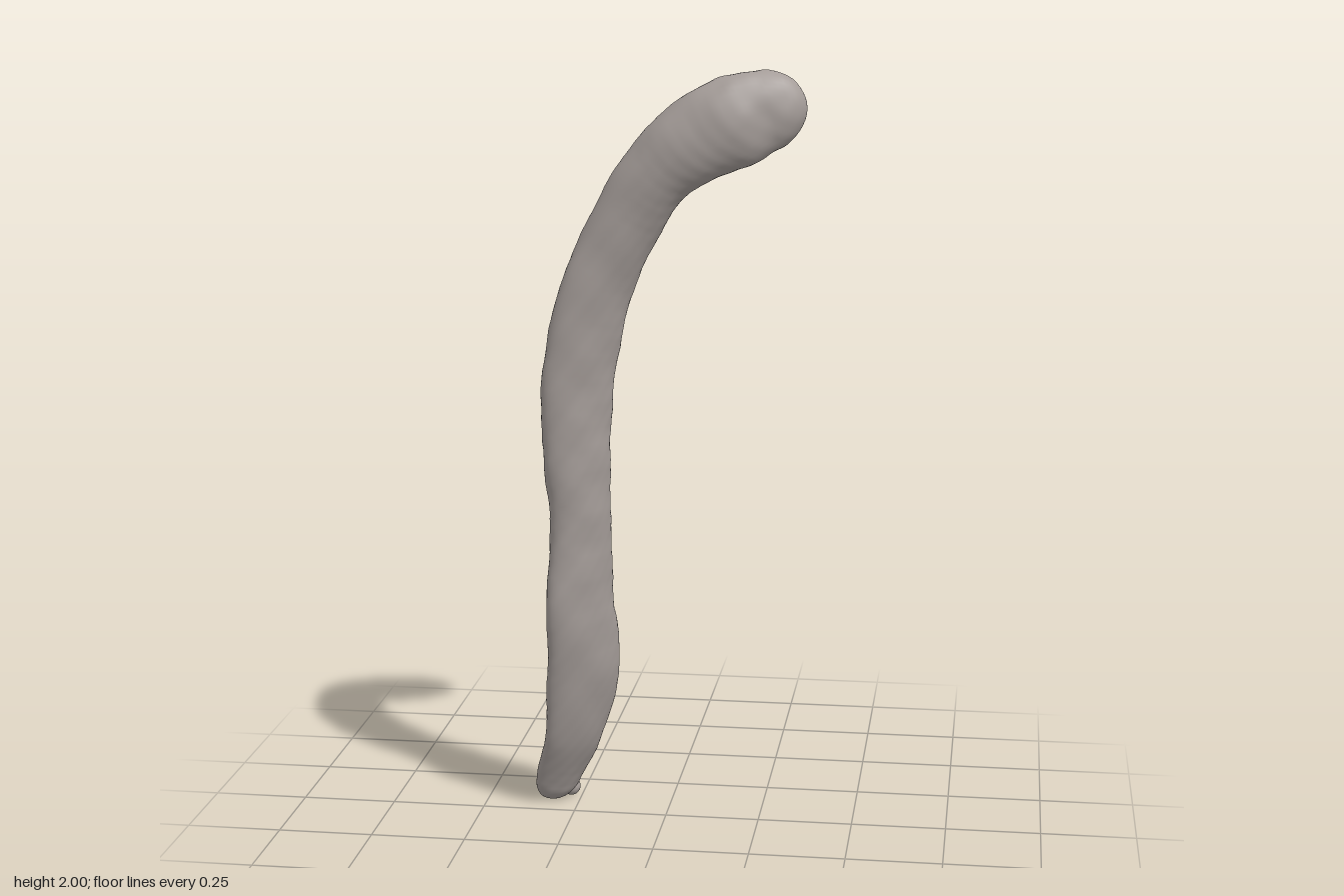
import * as THREE from 'three';

// Stations along the stick: x, y, z of the centre, then half-width, half-depth and twist in degrees
const STATIONS = [
  [-0.312, 0.004, -0.106, 0.060, 0.038, -38],
  [-0.308, 0.06, -0.084, 0.066, 0.040, -40],
  [-0.257, 0.2, -0.038, 0.088, 0.042, -42],
  [-0.222, 0.4, -0.003, 0.107, 0.047, -38],
  [-0.225, 0.6, 0.027, 0.100, 0.050, -42],
  [-0.220, 0.8, 0.035, 0.086, 0.052, -36],
  [-0.227, 1.0, 0.050, 0.090, 0.052, -28],
  [-0.220, 1.2, 0.056, 0.097, 0.051, -26],
  [-0.183, 1.4, 0.056, 0.095, 0.055, -23],
  [-0.100, 1.6, 0.060, 0.090, 0.058, -13],
  [-0.015, 1.735, 0.067, 0.093, 0.064, -6],
  [0.072, 1.815, 0.071, 0.106, 0.067, 0],
  [0.178, 1.868, 0.065, 0.117, 0.065, 0],
  [0.270, 1.900, 0.045, 0.100, 0.054, 0],
  [0.361, 1.916, 0.035, 0.088, 0.048, 0],
];
const STEPS = 10;
const SIDES = 40;

// Small, smooth surface unevenness
function bump(p) {
  return 0.0016 * Math.sin(31 * p.x + 23 * p.y) * Math.cos(37 * p.z - 11 * p.y)
    + 0.0012 * Math.sin(71 * p.x - 47 * p.y + 53 * p.z)
    + 0.0008 * Math.sin(97 * p.y + 120 * p.z) * Math.cos(110 * p.x);
}

// Sweep a twisting ellipse along the path, rounding off both ends
function stickGeometry() {
  const path = new THREE.CatmullRomCurve3(STATIONS.map(([x, y, z]) => new THREE.Vector3(x, y, z)));
  const sizes = new THREE.CatmullRomCurve3(
    STATIONS.map(([, , , a, b, deg]) => new THREE.Vector3(a, b, THREE.MathUtils.degToRad(deg))),
    false, 'catmullrom', 0.5);
  const segments = STATIONS.length - 1;
  const rings = segments * STEPS;
  const positions = [];
  const index = [];
  const axisZ = new THREE.Vector3(0, 0, 1);

  for (let i = 0; i <= rings; i++) {
    let s = i / STEPS;
    let round = 1;
    const fromEnd = Math.min(s, segments - s);
    if (fromEnd < 1) {
      const q = fromEnd * Math.PI / 2;
      round = Math.max(Math.sin(q), 0.002);
      s = s < 1 ? 1 - Math.cos(q) : segments - 1 + Math.cos(q);
    }
    const t = s / segments;
    const centre = path.getPoint(t);
    const tangent = path.getTangent(t);
    const size = sizes.getPoint(t);
    const normal = tangent.clone().cross(axisZ).normalize();
    const binormal = normal.clone().cross(tangent);
    const c = Math.cos(size.z), d = Math.sin(size.z);
    for (let j = 0; j < SIDES; j++) {
      const angle = j / SIDES * Math.PI * 2;
      const u = size.x * Math.cos(angle), v = size.y * Math.sin(angle);
      const offset = normal.clone().multiplyScalar(u * c - v * d)
        .addScaledVector(binormal, u * d + v * c);
      const p = centre.clone().addScaledVector(offset, round);
      p.addScaledVector(offset.normalize(), bump(p) * round);
      positions.push(p.x, p.y, p.z);
      if (i < rings) {
        const k = (j + 1) % SIDES, lo = i * SIDES, hi = lo + SIDES;
        index.push(lo + j, hi + j, lo + k, hi + j, hi + k, lo + k);
      }
    }
  }
  const geometry = new THREE.BufferGeometry();
  geometry.setAttribute('position', new THREE.Float32BufferAttribute(positions, 3));
  geometry.setIndex(index);
  geometry.computeVertexNormals();
  return geometry;
}

export function createModel() {
  const model = new THREE.Group();
  model.name = 'curvedStick';
  const warmGrey = new THREE.MeshStandardMaterial({ color: 0xa59d99 });
  warmGrey.name = 'warmGrey';

  const shaft = new THREE.Mesh(stickGeometry(), warmGrey);
  shaft.name = 'shaft';
  model.add(shaft);

  // Little knobs at the foot
  const knobs = [[-0.278, 0.030, -0.116, 0.025], [-0.330, 0.030, -0.092, 0.026]];
  for (const [x, y, z, r] of knobs) {
    const knob = new THREE.Mesh(new THREE.SphereGeometry(r, 20, 14), warmGrey);
    knob.name = 'footKnob';
    knob.position.set(x, y, z);
    model.add(knob);
  }
  return model;
}
